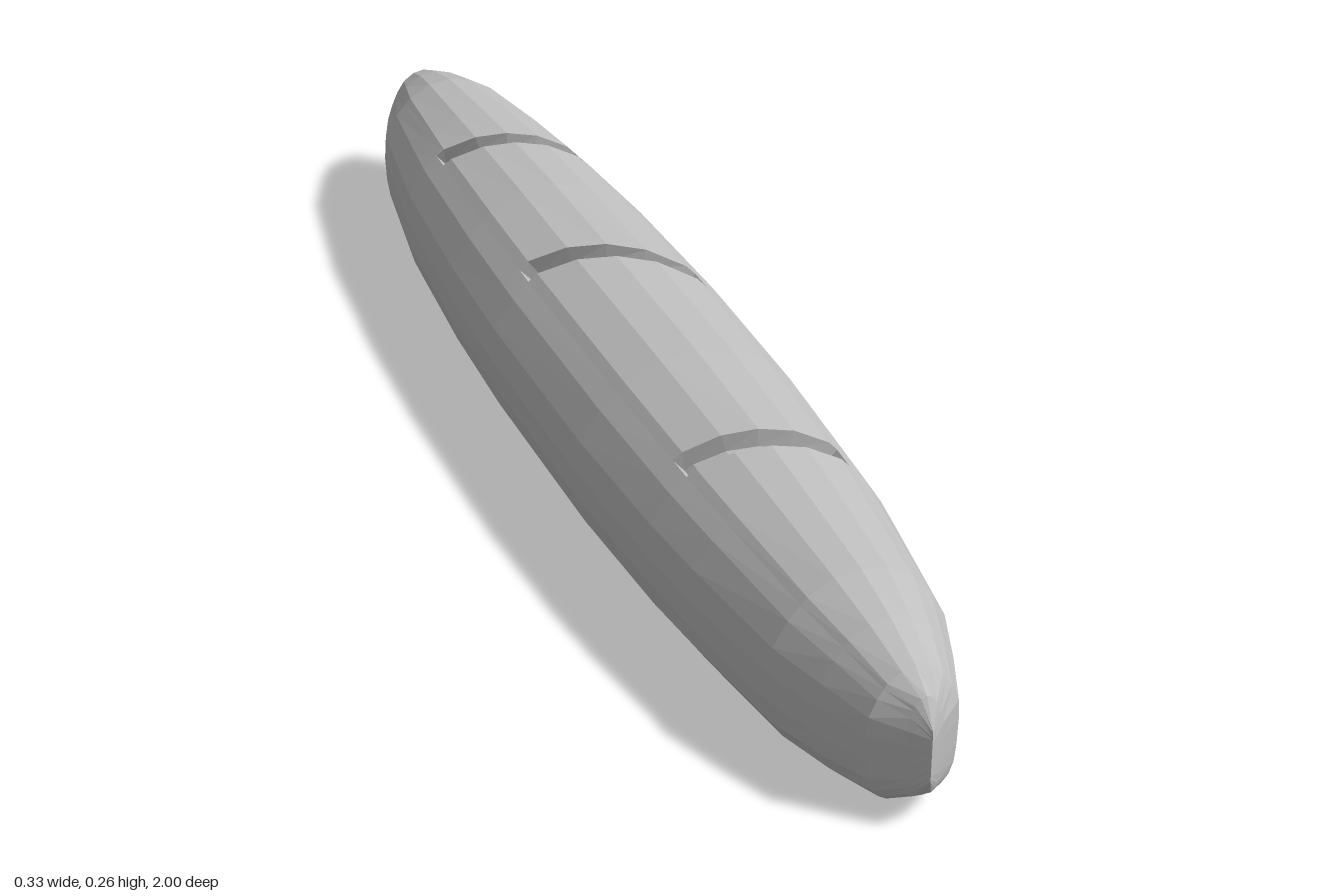
import * as THREE from 'three';

// Half cross-section at mid length, top to bottom: [x, y]
const HALF = [[0, 0.262], [0.05, 0.255], [0.1, 0.232], [0.112, 0.22], [0.135, 0.198], [0.163, 0.157],
  [0.167, 0.11], [0.164, 0.07], [0.157, 0.04], [0.14, 0.02], [0.115, 0.008], [0.085, 0.001], [0, 0]];
const RING = [...HALF, ...HALF.slice(1, -1).reverse().map(([x, y]) => [-x, y])];
const N = RING.length;
const MID = 0.11;   // height of the widest level
const BAND = 3;     // columns each side of the ridge that a score crosses

// Loaf outline along its length: [distance from middle, half width, top, bottom]
const KEYS = [[0, 0.167, 0.262, 0], [0.28, 0.161, 0.26, 0.001], [0.55, 0.145, 0.25, 0.003],
  [0.8, 0.11, 0.229, 0.007], [0.88, 0.083, 0.212, 0.01], [0.95, 0.056, 0.19, 0.021],
  [0.98, 0.022, 0.17, 0.04], [1, 0, 0.135, 0.07]];

// Slanted scores: centre, slope and bow
const SCORES = [
  { z: -0.485, slope: 0.32, bow: -1.2 },
  { z: -0.04, slope: 0.45, bow: 0 },
  { z: 0.51, slope: 0.2, bow: -0.6 },
];
const SCORE_HALF = 0.021;

function outline(z) {
  const d = Math.min(Math.abs(z), 1);
  let k = 1;
  while (k < KEYS.length - 1 && KEYS[k][0] < d) k++;
  const a = KEYS[k - 1], b = KEYS[k], t = (d - a[0]) / (b[0] - a[0]);
  return a.map((v, j) => v + (b[j] - v) * t);
}

function surfacePoint([px, py], z) {
  const [, w, top, bottom] = outline(z);
  const y = py >= MID
    ? MID + (py - MID) / (0.262 - MID) * (top - MID)
    : MID - (MID - py) / MID * (MID - bottom);
  return new THREE.Vector3(px / 0.167 * w, y, z);
}

// One ring of points, slanted where it borders a score
function makeRing({ z, slope = 0, bow = 0 }) {
  return RING.map((p) => {
    const x = THREE.MathUtils.clamp(surfacePoint(p, z).x, -0.105, 0.105);
    return surfacePoint(p, z + slope * x + bow * x * x);
  });
}

// Point pushed in towards the core, for the floor of a score
const sink = (p) => new THREE.Vector3(p.x * 0.84, MID + (p.y - MID) * 0.83, p.z);

function quad(out, a, b, c, d) {
  for (const p of [a, b, c, a, c, d]) out.push(p.x, p.y, p.z);
}

// Unshared corners give flat facets
function facetMesh(name, positions, material) {
  const geometry = new THREE.BufferGeometry();
  geometry.setAttribute('position', new THREE.Float32BufferAttribute(positions, 3));
  geometry.computeVertexNormals();
  const mesh = new THREE.Mesh(geometry, material);
  mesh.name = name;
  return mesh;
}

export function createModel() {
  const group = new THREE.Group();
  group.name = 'loaf';
  const grey = new THREE.MeshStandardMaterial({ color: 0xbfbfbf });
  grey.name = 'crust grey';

  // Rows along the length, with a pair of slanted rows for each score
  const rows = [0.28, 0.62, 0.8, 0.88, 0.95, 0.98, 1].flatMap((z) => [{ z }, { z: -z }]);
  for (const s of SCORES) {
    rows.push({ ...s, z: s.z - SCORE_HALF, scored: true }, { ...s, z: s.z + SCORE_HALF });
  }
  rows.sort((a, b) => a.z - b.z);
  const rings = rows.map(makeRing);

  const crust = [], scores = [];
  for (let r = 0; r < rings.length - 1; r++) {
    for (let i = 0; i < N; i++) {
      const j = (i + 1) % N;
      const a = rings[r][i], b = rings[r][j], c = rings[r + 1][j], d = rings[r + 1][i];
      if (!rows[r].scored || (i >= BAND && i < N - BAND)) {
        quad(crust, a, d, c, b);
        continue;
      }
      // Score floor, side walls and end walls
      const [fa, fb, fc, fd] = [a, b, c, d].map(sink);
      quad(scores, fa, fd, fc, fb);
      quad(scores, fa, fb, b, a);
      quad(scores, fc, fd, d, c);
      if (i === BAND - 1) quad(scores, fb, fc, c, b);
      if (i === N - BAND) quad(scores, fd, fa, a, d);
    }
  }
  group.add(facetMesh('crust', crust, grey), facetMesh('scores', scores, grey));
  return group;
}
